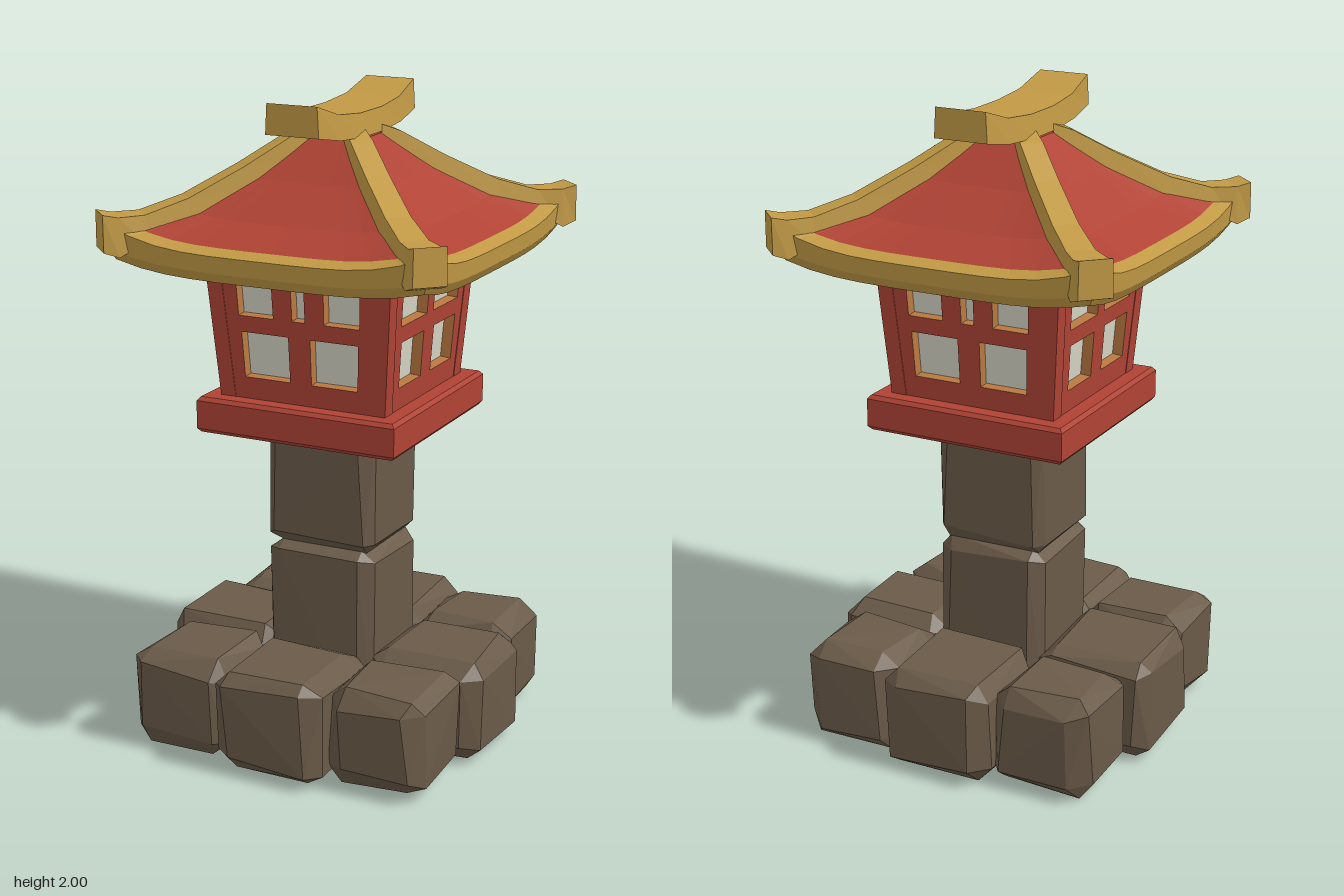
import * as THREE from 'three';
import { ConvexGeometry } from 'three/addons/geometries/ConvexGeometry.js';

const paint = (name, color, side = THREE.FrontSide) => {
  const m = new THREE.MeshStandardMaterial({ color, flatShading: true, side });
  m.name = name;
  return m;
};

// Skin a surface over rings of points, with optional end caps
function loft(rings, capStart = true, capEnd = true) {
  const pos = [];
  const tri = (a, b, c) => pos.push(...a, ...b, ...c);
  const n = rings[0].length;
  for (let i = 0; i < rings.length - 1; i++) {
    for (let j = 0; j < n; j++) {
      const k = (j + 1) % n;
      const [a, b, c, d] = [rings[i][j], rings[i][k], rings[i + 1][k], rings[i + 1][j]];
      tri(a, b, c);
      tri(a, c, d);
    }
  }
  const last = rings[rings.length - 1];
  for (let j = 1; j < n - 1; j++) {
    if (capStart) tri(rings[0][0], rings[0][j + 1], rings[0][j]);
    if (capEnd) tri(last[0], last[j], last[j + 1]);
  }
  const g = new THREE.BufferGeometry();
  g.setAttribute('position', new THREE.Float32BufferAttribute(pos, 3));
  g.computeVertexNormals();
  return g;
}

// Horizontal square ring whose corners rise by lift
function squareRing(w, y, lift = 0, n = 1) {
  const ring = [];
  for (let s = 0; s < 4; s++) {
    for (let i = 0; i < n; i++) {
      const t = -1 + (2 * i) / n;
      let x = t * w, z = w;
      for (let k = 0; k < s; k++) [x, z] = [z, -x];
      ring.push([x, y + lift * t ** 4, z]);
    }
  }
  return ring;
}

// Bar along z from sections [z, bottom, top, half width below, half width above]
const bar = (sections) => loft(sections.map(([z, b, t, wb, wt]) =>
  [[-wb, b, z], [wb, b, z], [wt, t, z], [-wt, t, z]]));

let seed = 7;
const rand = () => ((seed = (seed * 16807) % 2147483647) / 2147483647) - 0.5;

// Roughly hewn block: a box with uneven chamfers
function stoneGeometry(w, h, d, bevel, rough) {
  const pts = [];
  for (const x of [-1, 1]) for (const y of [-1, 1]) for (const z of [-1, 1]) {
    for (let axis = 0; axis < 3; axis++) {
      const c = [0, 1, 2].map((i) => (i === axis ? 0 : bevel * (1 + rand() * 0.7)));
      pts.push(new THREE.Vector3(
        x * (w / 2 - c[0] - (rand() + 0.5) * rough),
        y * (h / 2 - c[1] - (rand() + 0.5) * rough),
        z * (d / 2 - c[2] - (rand() + 0.5) * rough)));
    }
  }
  return new ConvexGeometry(pts);
}

export function createModel() {
  const stone = paint('stone', 0x6a5a48);
  const red = paint('red lacquer', 0xb04335);
  const gold = paint('gold trim', 0xc29a45);
  const pale = paint('pale window', 0xd8d6c6);
  const dark = paint('dark underside', 0x3d3731, THREE.DoubleSide);
  const orange = paint('orange window reveal', 0xb87840);

  const model = new THREE.Group();
  model.name = 'stoneLantern';
  const add = (name, geometry, material, parent = model) => {
    const mesh = new THREE.Mesh(geometry, material);
    mesh.name = name;
    parent.add(mesh);
    return mesh;
  };

  // Ring of base stones
  for (let k = 0; k < 4; k++) {
    const side = add('baseSideStone', stoneGeometry(0.36, 0.335, 0.38, 0.045, 0.012), stone);
    side.position.set(0, 0.17, 0.35).applyAxisAngle(new THREE.Vector3(0, 1, 0), k * Math.PI / 2);
    side.rotation.y = k * Math.PI / 2;
    const corner = add('baseCornerStone', stoneGeometry(0.33, 0.325, 0.33, 0.05, 0.012), stone);
    corner.position.set(0.325, 0.17, 0.325).applyAxisAngle(new THREE.Vector3(0, 1, 0), k * Math.PI / 2);
    corner.rotation.y = k * Math.PI / 2;
  }

  // Two pillar stones
  add('lowerPillarStone', stoneGeometry(0.36, 0.6, 0.35, 0.035, 0.006), stone).position.y = 0.335;
  add('upperPillarStone', stoneGeometry(0.36, 0.41, 0.35, 0.035, 0.006), stone).position.y = 0.825;

  // Platform
  add('platform', loft([squareRing(0.315, 1.0), squareRing(0.325, 1.012),
    squareRing(0.325, 1.098), squareRing(0.315, 1.11)]), red);
  add('platformUnderside', new THREE.BoxGeometry(0.6, 0.006, 0.6), dark).position.y = 0.999;

  // Lantern house: pale core, corner posts and four pierced walls
  add('windowPanes', loft([squareRing(0.235, 1.1), squareRing(0.266, 1.52)]), pale);
  const post = [[0.245, 1.1], [0.277, 1.52]].map(([c, y]) =>
    squareRing(0.025, y).map(([x, py, z]) => [x + c, py, z + c]));
  const hole = (x0, x1, y0, y1) => {
    const lean = (y) => 1 + (y - 1.18) * 0.2;
    return new THREE.Path([[x0, y0], [x0, y1], [x1, y1], [x1, y0]]
      .map(([x, y]) => new THREE.Vector2(x * lean(y), y - 1.1)));
  };
  for (let k = 0; k < 4; k++) {
    const wall = new THREE.Shape([[-0.24, 0], [0.24, 0], [0.27, 0.42], [-0.27, 0.42]]
      .map(([x, y]) => new THREE.Vector2(x, y)));
    wall.holes.push(hole(-0.185, -0.035, 1.18, 1.32), hole(0.035, 0.185, 1.18, 1.32));
    if (k % 2 === 0) {
      wall.holes.push(hole(-0.19, -0.08, 1.37, 1.485), hole(0.08, 0.19, 1.37, 1.485),
        hole(-0.02, 0.02, 1.37, 1.485));
    } else {
      wall.holes.push(hole(-0.192, -0.022, 1.37, 1.485), hole(0.022, 0.192, 1.37, 1.485));
    }
    const house = new THREE.Group();
    house.name = 'houseSide';
    house.rotation.y = k * Math.PI / 2;
    model.add(house);
    add('cornerPost', loft(post), red, house);
    const panel = add('windowWall',
      new THREE.ExtrudeGeometry(wall, { depth: 0.036, bevelEnabled: false }), [red, orange], house);
    panel.position.set(0, 1.1, 0.232);
    panel.rotation.x = Math.atan(0.032 / 0.42);
  }

  // Curved roof: soffit, gold eave, red slopes
  const n = 12;
  const eaveLow = squareRing(0.487, 1.51, 0.035, n);
  const eaveInner = squareRing(0.468, 1.605, 0.05, n);
  add('roofUnderside', loft([squareRing(0.2, 1.525, 0, n), squareRing(0.455, 1.52, 0.035, n)], true, false), dark);
  add('eaveTrim', loft([squareRing(0.455, 1.52, 0.035, n), eaveLow, squareRing(0.508, 1.54, 0.045, n),
    squareRing(0.513, 1.59, 0.07, n), eaveInner], false, false), gold);
  add('roofSlopes', loft([eaveInner, squareRing(0.35, 1.66, 0.025, n), squareRing(0.22, 1.76, 0.01, n),
    squareRing(0.1, 1.875, 0, n)], false, true), red);

  // Hip ribs sweeping up at the corners
  for (let k = 0; k < 4; k++) {
    const rib = add('hipRib', bar([
      [0.11, 1.83, 1.9, 0.038, 0.032], [0.17, 1.81, 1.878, 0.04, 0.034],
      [0.31, 1.74, 1.8, 0.042, 0.036], [0.48, 1.65, 1.717, 0.046, 0.038],
      [0.61, 1.6, 1.677, 0.052, 0.042], [0.69, 1.56, 1.675, 0.056, 0.048],
      [0.735, 1.575, 1.685, 0.05, 0.048]]), gold);
    rib.rotation.y = Math.PI / 4 + k * Math.PI / 2;
  }

  // Upturned ridge beam
  add('ridgeBeam', bar([
    [-0.32, 1.91, 2.0, 0.085, 0.08], [-0.2, 1.888, 1.962, 0.095, 0.088],
    [-0.07, 1.88, 1.95, 0.102, 0.093], [0.07, 1.88, 1.95, 0.102, 0.093],
    [0.2, 1.888, 1.962, 0.095, 0.088], [0.32, 1.91, 2.0, 0.085, 0.08]]), gold);

  return model;
}
